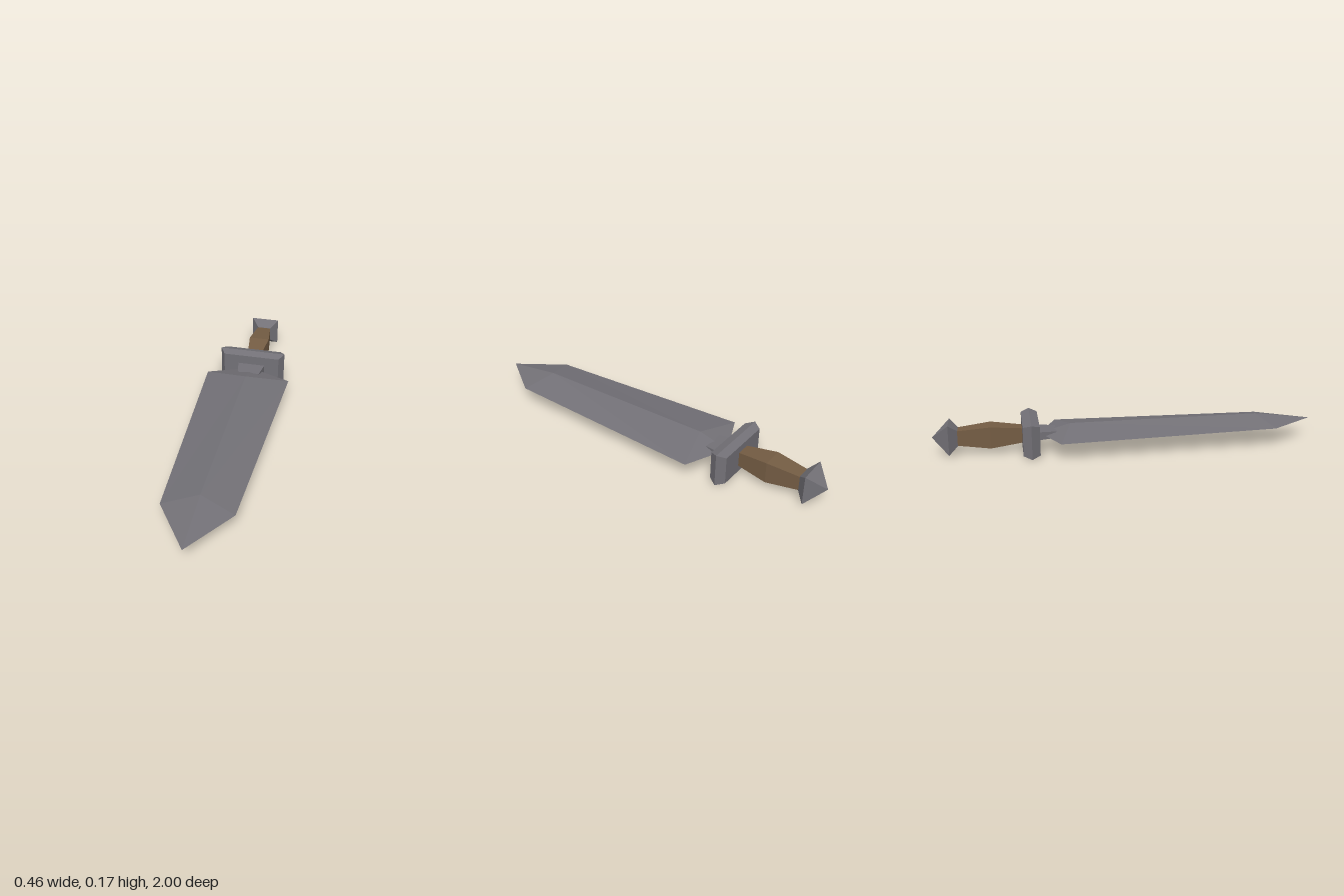
import * as THREE from 'three';

// Four-cornered sections running from back to front, joined with flat faces and capped.
function loft(rings) {
  const pos = [];
  const tri = (a, b, c) => {
    const va = new THREE.Vector3(...a), vb = new THREE.Vector3(...b), vc = new THREE.Vector3(...c);
    const area = vb.clone().sub(va).cross(vc.clone().sub(va)).length();
    if (area > 1e-7) pos.push(...a, ...b, ...c);
  };
  for (let i = 0; i < rings.length - 1; i++) {
    const r = rings[i], s = rings[i + 1];
    for (let j = 0; j < 4; j++) {
      const k = (j + 1) % 4;
      tri(r[j], r[k], s[k]);
      tri(r[j], s[k], s[j]);
    }
  }
  const first = rings[0], last = rings[rings.length - 1];
  tri(first[0], first[2], first[1]);
  tri(first[0], first[3], first[2]);
  tri(last[0], last[1], last[2]);
  tri(last[0], last[2], last[3]);
  const geo = new THREE.BufferGeometry();
  geo.setAttribute('position', new THREE.Float32BufferAttribute(pos, 3));
  geo.computeVertexNormals();
  return geo;
}

const MID = 0.087;

// Rectangular section: half width, half height
const rect = (z, w, h, y = MID) => [[w, y - h, z], [w, y + h, z], [-w, y + h, z], [-w, y - h, z]];

// Diamond section whose ridge may sit at a different z than its edges
const diamond = (edgeZ, ridgeZ, w, h, y) =>
  [[w, y, edgeZ], [0, y + h, ridgeZ], [-w, y, edgeZ], [0, y - h, ridgeZ]];

export function createModel() {
  const steel = new THREE.MeshStandardMaterial({ name: 'steel', color: 0x737177, flatShading: true });
  const leather = new THREE.MeshStandardMaterial({ name: 'leather', color: 0x755d44, flatShading: true });

  const model = new THREE.Group();
  model.name = 'sword';
  const add = (name, material, rings) => {
    const mesh = new THREE.Mesh(loft(rings), material);
    mesh.name = name;
    model.add(mesh);
  };

  // Broad tapering blade with a central ridge on both faces
  add('blade', steel, [
    diamond(-0.465, -0.465, 0, 0, 0.086),
    diamond(-0.37, -0.305, 0.231, 0.041, 0.089),
    diamond(0.745, 0.69, 0.173, 0.039, 0.098),
    diamond(0.995, 0.995, 0, 0, 0.1),
  ]);

  // Short block joining the blade to the guard
  add('bladeCollar', steel, [rect(-0.48, 0.077, 0.021, 0.089), rect(-0.38, 0.06, 0.017, 0.089)]);

  // Guard with bevelled rims
  add('guard', steel, [
    rect(-0.552, 0.156, 0.073), rect(-0.51, 0.183, 0.086), rect(-0.468, 0.156, 0.073),
  ]);

  // Square grip, swollen in the middle
  add('grip', leather, [
    rect(-0.88, 0.037, 0.037), rect(-0.71, 0.057, 0.055), rect(-0.545, 0.037, 0.037),
  ]);

  // Pyramid pommel
  add('pommel', steel, [
    rect(-1, 0, 0), rect(-0.915, 0.078, 0.076), rect(-0.872, 0.037, 0.039),
  ]);

  return model;
}
